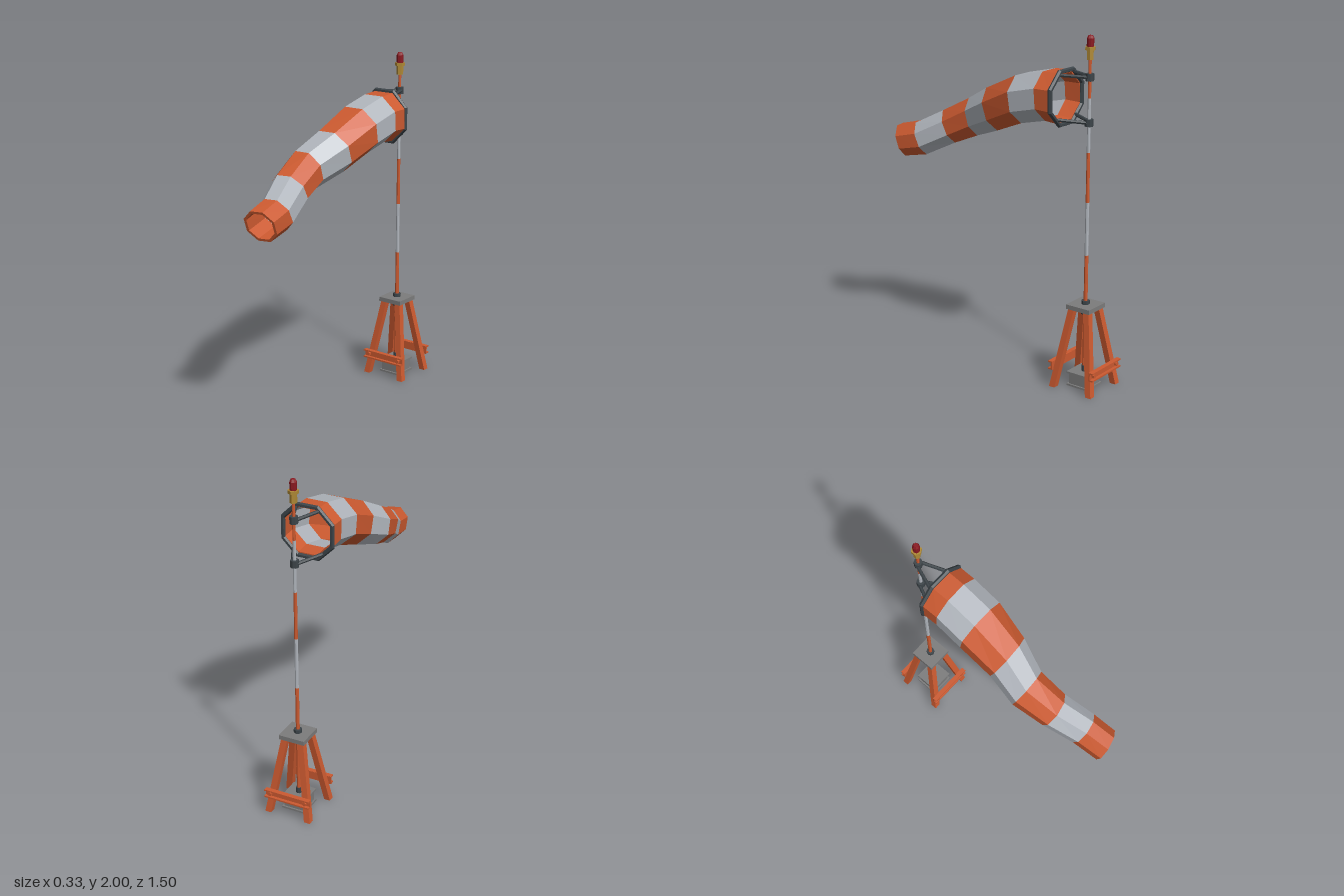
import * as THREE from 'three';

const mat = (name, color) => {
  const m = new THREE.MeshStandardMaterial({ color });
  m.name = name;
  return m;
};

export function createModel() {
  const orange = mat('orange', 0xcc5a30);
  const pale = mat('pale grey', 0xb0b5bc);
  const steel = mat('steel grey', 0x7c7c7c);
  const dark = mat('dark metal', 0x3c4449);
  const gold = mat('brass', 0xb08a35);
  const red = mat('red lamp', 0x8a1820);
  const model = new THREE.Group();
  model.name = 'windsock';
  const PZ = -0.605; // pole position

  const add = (name, geo, material, x = 0, y = 0, z = 0) => {
    const g = geo.index ? geo.toNonIndexed() : geo;
    g.computeVertexNormals(); // faceted look
    const mesh = new THREE.Mesh(g, material);
    mesh.name = name;
    mesh.position.set(x, y, z);
    model.add(mesh);
    return mesh;
  };
  const box = (name, m, w, h, d, x, y, z) => add(name, new THREE.BoxGeometry(w, h, d), m, x, y, z);
  // upright cylinder on the pole axis between two heights
  const post = (name, m, y0, y1, r0, r1 = r0, n = 8) =>
    add(name, new THREE.CylinderGeometry(r1, r0, y1 - y0, n), m, 0, (y0 + y1) / 2, PZ);
  const rod = (name, m, a, b, r) => {
    const d = b.clone().sub(a);
    const mesh = add(name, new THREE.CylinderGeometry(r, r, d.length(), 6), m);
    mesh.position.copy(a).addScaledVector(d, 0.5);
    mesh.quaternion.setFromUnitVectors(new THREE.Vector3(0, 1, 0), d.normalize());
  };

  // striped pole
  const cuts = [0.1, 0.775, 1.08, 1.36, 1.66, 1.88];
  const poleR = (y) => 0.0125 - 0.002 * y;
  for (let i = 0; i < 5; i++)
    post('poleBand', i % 2 ? pale : orange, cuts[i], cuts[i + 1], poleR(cuts[i]), poleR(cuts[i + 1]));

  // warning lamp
  post('lampBase', gold, 1.87, 1.925, 0.02, 0.02, 6);
  post('lampFlange', gold, 1.922, 1.94, 0.03, 0.03, 6);
  post('lampLens', red, 1.94, 1.985, 0.02, 0.02, 8);
  post('lampTip', red, 1.985, 2.0, 0.02, 0.012, 8);

  // platform and collars
  box('platform', steel, 0.156, 0.026, 0.156, 0, 0.477, PZ);
  post('upperCollar', dark, 0.49, 0.51, 0.024);
  post('lowerFlange', dark, 0.447, 0.464, 0.042);
  post('lowerCollar', dark, 0.43, 0.447, 0.024);

  // counterweight
  box('weightBody', steel, 0.124, 0.07, 0.124, 0, 0.043, PZ);
  for (const y of [0.006, 0.08]) box('weightPlate', steel, 0.144, 0.011, 0.144, 0, y, PZ);
  post('weightCollar', dark, 0.084, 0.12, 0.017);

  // splayed legs, leaned by shearing a box
  for (const sx of [-1, 1]) for (const sz of [-1, 1]) {
    const g = new THREE.BoxGeometry(0.037, 0.466, 0.037);
    g.translate(0, 0.233, 0);
    const p = g.attributes.position;
    for (let i = 0; i < p.count; i++) {
      const off = 0.124 - 0.074 * p.getY(i) / 0.466;
      p.setX(i, p.getX(i) + sx * off);
      p.setZ(i, p.getZ(i) + sz * off);
    }
    add('leg', g, orange, 0, 0, PZ);
  }

  // channel braces across front and back legs, with bolts
  for (const s of [-1, 1]) {
    box('braceWeb', orange, 0.28, 0.05, 0.01, 0, 0.127, PZ + s * 0.129);
    for (const y of [0.106, 0.148])
      box('braceFlange', orange, 0.28, 0.009, 0.024, 0, y, PZ + s * 0.14);
    for (const x of [-0.11, 0.11]) {
      const g = new THREE.CylinderGeometry(0.013, 0.013, 0.016, 6).rotateX(Math.PI / 2);
      add('braceBolt', g, orange, x, 0.127, PZ + s * 0.141);
    }
  }

  // mouth hoop, clamps and struts
  const N = 8, half = Math.PI / N;
  add('mouthHoop', new THREE.TorusGeometry(0.158, 0.014, 6, N).rotateZ(half), dark, 0.002, 1.647, -0.453);
  for (const [y, ex, ey] of [[1.775, 0.068, 1.777], [1.527, 0.088, 1.536]]) {
    post('clamp', dark, y - 0.02, y + 0.02, 0.024);
    for (const s of [-1, 1])
      rod('strut', dark, new THREE.Vector3(s * 0.012, y, PZ), new THREE.Vector3(s * ex, ey, -0.455), 0.01);
  }

  // sock rings: centre x, half width, top z, top y, bottom z, bottom y, yaw
  const rings = [
    [0.003, 0.150, -0.445, 1.788, -0.452, 1.506, 0],
    [0.004, 0.149, -0.340, 1.783, -0.360, 1.513, 0],
    [0.002, 0.150, -0.153, 1.738, -0.195, 1.475, 0],
    [-0.013, 0.128, 0.074, 1.635, -0.005, 1.400, 0.05],
    [-0.055, 0.110, 0.243, 1.545, 0.180, 1.333, 0.05],
    [-0.030, 0.099, 0.430, 1.450, 0.340, 1.270, 0.22],
    [0.021, 0.091, 0.600, 1.360, 0.520, 1.180, 0.2],
    [0.037, 0.089, 0.738, 1.325, 0.676, 1.150, 0.25],
  ];
  const loop = ([x, w, tz, ty, bz, by, yaw], inset) => {
    const up = new THREE.Vector3(0, (ty - by) / 2, (tz - bz) / 2);
    const side = new THREE.Vector3(Math.cos(yaw), 0, -Math.sin(yaw)).multiplyScalar(w);
    const k = (1 - inset / w) / Math.cos(half);
    return Array.from({ length: N }, (_, j) => {
      const a = (j + 0.5) * 2 * half;
      return new THREE.Vector3(x, (ty + by) / 2, (tz + bz) / 2)
        .addScaledVector(side, Math.cos(a) * k).addScaledVector(up, Math.sin(a) * k);
    });
  };
  // quads joining two loops
  const join = (name, A, B, material) => {
    const pts = [];
    for (let j = 0; j < N; j++) {
      const n = (j + 1) % N;
      pts.push(A[j], A[n], B[n], A[j], B[n], B[j]);
    }
    add(name, new THREE.BufferGeometry().setFromPoints(pts), material);
  };
  const outer = rings.map((r) => loop(r, 0));
  const inner = rings.map((r) => loop(r, 0.014));
  for (let i = 0; i < 7; i++) {
    const m = i % 2 ? pale : orange;
    join('sockBand', outer[i], outer[i + 1], m);
    join('sockLining', inner[i + 1], inner[i], m);
  }
  join('sockMouthRim', inner[0], outer[0], orange);
  join('sockTailRim', outer[7], inner[7], orange);

  return model;
}
